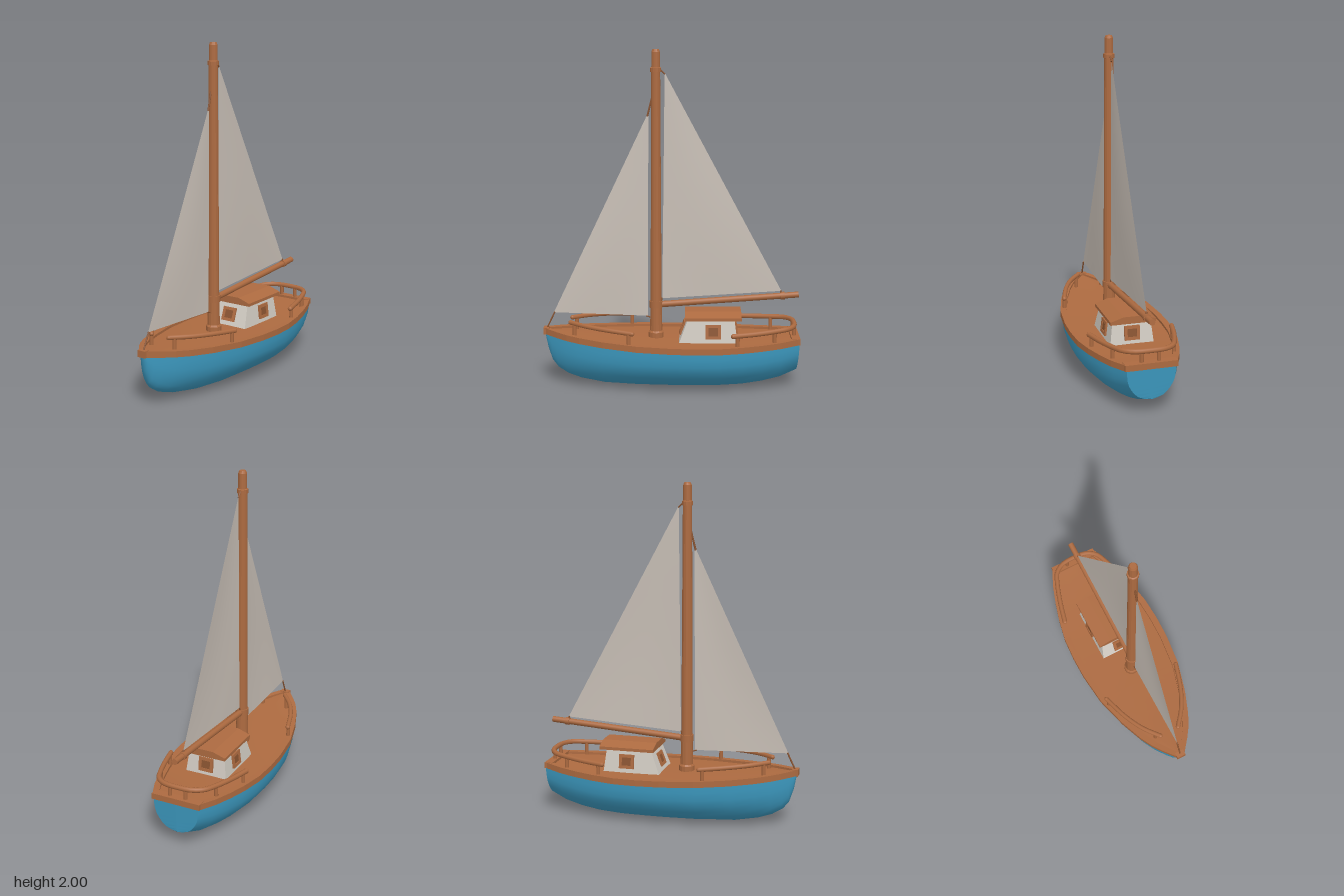
import * as THREE from 'three';

const mat = (name, color, double = false) => {
  const m = new THREE.MeshStandardMaterial({ color });
  m.name = name;
  if (double) m.side = THREE.DoubleSide;
  return m;
};

export function createModel() {
  const boat = new THREE.Group();
  boat.name = 'sailboat';
  const wood = mat('wood', 0xac6a40);
  const darkWood = mat('darkWood', 0x8a5431);
  const blue = mat('hullBlue', 0x3c98be, true);
  const white = mat('cabinWhite', 0xd2ccc3);
  const cloth = mat('sailCloth', 0xc8bfb6, true);

  const add = (name, geo, material, parent = boat) => {
    const mesh = new THREE.Mesh(geo, material);
    mesh.name = name;
    parent.add(mesh);
    return mesh;
  };
  const box = (name, w, h, d, x, y, z, material, parent) =>
    add(name, new THREE.BoxGeometry(w, h, d).translate(x, y, z), material, parent);

  // Skin between rows of points
  const loft = (rows, flat = false) => {
    const n = rows[0].length, index = [];
    for (let i = 0; i < rows.length - 1; i++)
      for (let j = 0; j < n - 1; j++) {
        const a = i * n + j, b = a + n;
        index.push(a, a + 1, b, b, a + 1, b + 1);
      }
    let g = new THREE.BufferGeometry();
    g.setAttribute('position', new THREE.Float32BufferAttribute(rows.flat(2), 3));
    g.setIndex(index);
    if (flat) g = g.toNonIndexed();
    g.computeVertexNormals();
    return g;
  };
  // Round bar between two points
  const bar = (name, a, b, r1, r2, material = wood, sides = 10) => {
    const A = new THREE.Vector3(...a), B = new THREE.Vector3(...b), d = B.clone().sub(A);
    const m = add(name, new THREE.CylinderGeometry(r2, r1, d.length(), sides), material);
    m.position.copy(A).add(B).multiplyScalar(0.5);
    m.quaternion.setFromUnitVectors(new THREE.Vector3(0, 1, 0), d.normalize());
    return m;
  };

  // Hull stations: x, half width, rail top, keel height
  const stations = [
    [-0.755, 0.026, 0.34, 0.29], [-0.74, 0.04, 0.338, 0.215], [-0.715, 0.06, 0.335, 0.14],
    [-0.68, 0.088, 0.331, 0.095], [-0.62, 0.13, 0.325, 0.058], [-0.54, 0.172, 0.318, 0.032],
    [-0.4, 0.226, 0.308, 0.008], [-0.2, 0.281, 0.298, 0.001], [0, 0.303, 0.292, 0],
    [0.14, 0.305, 0.289, 0], [0.28, 0.297, 0.288, 0], [0.42, 0.27, 0.29, 0.005],
    [0.54, 0.237, 0.294, 0.02], [0.65, 0.2, 0.3, 0.045], [0.75, 0.154, 0.308, 0.088],
  ];
  const RAIL = 0.036;
  // Half section from rail to keel: width fraction, height fraction
  const section = [[1, 1], [0.995, 0.83], [0.97, 0.65], [0.91, 0.49], [0.8, 0.34], [0.67, 0.21],
    [0.5, 0.1], [0.25, 0.025], [0, 0]];
  const profile = [...section, ...section.slice(0, -1).reverse().map(([z, y]) => [-z, y])];
  const hullRows = stations.map(([x, w, top, keel], i) => profile.map(([z, y]) => [
    x + (i === stations.length - 1 ? 0.012 * y : 0),
    keel + (top - RAIL + 0.008 - keel) * y,
    z * Math.max(w - 0.012, 0.012),
  ]));
  add('hull', loft(hullRows), blue);
  const stern = hullRows[hullRows.length - 1];
  add('transom', loft([stern, stern.map(([x, y]) => [x + 0.003, y, 0])], true), blue);

  // Deck and rail cap
  add('deck', loft(stations.map(([x, w, top]) => [-1, -0.5, 0, 0.5, 1].map((s) =>
    [x, top - 0.016 + 0.006 * (1 - s * s), s * (w - 0.01)]))), wood);
  for (const s of [1, -1]) {
    add(s > 0 ? 'gunwaleFront' : 'gunwaleBack', loft(stations.map(([x, w, top]) => {
      const inner = Math.max(w - 0.04, 0), low = top - RAIL;
      const ring = [[x, top, s * w], [x, low, s * w], [x, low, s * inner], [x, top, s * inner], [x, top, s * w]];
      return s > 0 ? ring : ring.reverse();
    }), true), wood);
  }
  box('sternRail', 0.05, RAIL, 0.306, 0.74, 0.291, 0, wood);
  box('bowBlock', 0.035, 0.04, 0.055, -0.75, 0.322, 0, wood);

  // Mast with collars
  const mast = [[0, 0.28], [0.046, 0.28], [0.046, 0.315], [0.038, 0.325], [0.034, 0.5], [0.027, 1.868],
    [0.033, 1.87], [0.033, 1.893], [0.026, 1.896], [0.025, 1.985], [0.019, 2], [0, 2]];
  // Doubled points keep the profile edges sharp
  const mastGeo = new THREE.LatheGeometry(mast.map(([r, y]) => new THREE.Vector2(r, y)), 14).toNonIndexed();
  mastGeo.computeVertexNormals();
  add('mast', mastGeo, wood).position.x = -0.09;
  add('boomCollar', new THREE.CylinderGeometry(0.04, 0.04, 0.04, 14).translate(-0.09, 0.485, 0), wood);

  // Boom and its end band
  bar('boom', [-0.07, 0.483, 0], [0.763, 0.545, 0], 0.019, 0.018);
  bar('boomBand', [0.655, 0.537, 0], [0.68, 0.539, 0], 0.023, 0.023);

  // Sails: luff foot, head and clew, with a faint belly
  const sail = (name, foot, head, clew, belly) => {
    const rows = [], N = 10;
    for (let i = 0; i <= N; i++) {
      const row = [], u = i / N;
      for (let j = 0; j <= N; j++) {
        const v = j / N;
        const at = (k) => foot[k] + (head[k] - foot[k]) * u + (clew[k] - foot[k]) * v * (1 - u);
        row.push([at(0), at(1), belly * Math.sin(Math.PI * v) * Math.sin(Math.PI * u) * (1 - u)]);
      }
      rows.push(row);
    }
    add(name, loft(rows), cloth);
  };
  sail('mainsail', [-0.053, 0.52], [-0.038, 1.865], [0.66, 0.567], 0.014);
  sail('jib', [-0.14, 0.412], [-0.133, 1.635], [-0.705, 0.432], 0.014);

  // Lines tying the sails
  bar('jibTack', [-0.75, 0.33, 0], [-0.7, 0.435, 0], 0.005, 0.005, darkWood, 6);
  bar('jibHalyard', [-0.14, 1.61, 0], [-0.112, 1.72, 0], 0.006, 0.006, darkWood, 6);
  bar('jibSheet', [-0.15, 0.412, 0], [-0.115, 0.4, 0], 0.004, 0.004, darkWood, 6);
  bar('mainHalyard', [-0.065, 1.885, 0], [-0.035, 1.855, 0], 0.005, 0.005, darkWood, 6);
  bar('mainTack', [-0.055, 0.525, 0], [-0.06, 0.485, 0], 0.004, 0.004, darkWood, 6);
  bar('mainClew', [0.655, 0.57, 0], [0.668, 0.54, 0], 0.005, 0.005, darkWood, 6);

  // Cabin walls, wider at the bottom and raked towards the bow
  const cabin = new THREE.Group();
  cabin.name = 'cabin';
  boat.add(cabin);
  const walls = new THREE.BoxGeometry(1, 0.16, 1);
  const p = walls.attributes.position;
  for (let i = 0; i < p.count; i++) {
    const low = p.getY(i) < 0;
    p.setX(i, p.getX(i) < 0 ? (low ? 0.045 : 0.105) : (low ? 0.395 : 0.375));
    p.setZ(i, Math.sign(p.getZ(i)) * (low ? 0.132 : 0.113));
    p.setY(i, low ? 0.27 : 0.43);
  }
  walls.computeVertexNormals();
  add('cabinWalls', walls, white, cabin);

  // Cambered roof
  const roof = new THREE.Shape([[-0.137, 0.412], [0.137, 0.412], [0.137, 0.43], [0.06, 0.455],
    [-0.06, 0.455], [-0.137, 0.43]].map(([x, y]) => new THREE.Vector2(x, y)));
  add('cabinRoof', new THREE.ExtrudeGeometry(roof, { depth: 0.335, bevelEnabled: false })
    .rotateY(Math.PI / 2).translate(0.083, 0, 0), wood, cabin);

  // Framed windows
  const windowAt = (name, x, y, z, turn, lean, w = 0.092, h = 0.085) => {
    const g = new THREE.Group();
    g.name = name;
    g.position.set(x, y, z);
    g.rotation.set(-lean, turn, 0, 'YXZ');
    cabin.add(g);
    const t = 0.018;
    for (const s of [1, -1]) {
      box('frameSide', t, h, 0.02, s * (w - t) / 2, 0, 0, wood, g);
      box('frameBar', w, t, 0.02, 0, s * (h - t) / 2, 0, wood, g);
    }
    box('pane', w - t, h - t, 0.008, 0, 0, 0.001, darkWood, g);
  };
  windowAt('windowFront', 0.25, 0.345, 0.124, 0, 0.12);
  windowAt('windowBack', 0.25, 0.345, -0.124, Math.PI, 0.12);
  windowAt('windowStern', 0.387, 0.345, 0, Math.PI / 2, 0.12);
  windowAt('windowBow', 0.073, 0.345, 0, -Math.PI / 2, 0.36);

  // Hand rails on posts
  const rail = (name, pts, r) => {
    const curve = new THREE.CatmullRomCurve3(pts.map((q) => new THREE.Vector3(...q)));
    add(name, new THREE.TubeGeometry(curve, 36, r, 8), wood);
    for (const end of [0, 1]) {
      const cap = add(name + 'End', new THREE.SphereGeometry(r, 8, 6), wood);
      cap.position.copy(curve.getPoint(end));
    }
  };
  const post = (x, y, z) => bar('railPost', [x, 0.275, z], [x, y, z], 0.012, 0.012, wood, 8);
  for (const s of [1, -1]) {
    rail('bowRail', [[-0.6, 0.385, 0.062 * s], [-0.5, 0.381, 0.14 * s], [-0.38, 0.375, 0.2 * s],
      [-0.225, 0.365, 0.25 * s]], 0.014);
    post(-0.575, 0.382, 0.083 * s);
    post(-0.245, 0.366, 0.244 * s);
    post(0.39, 0.354, 0.243 * s);
    post(0.61, 0.363, 0.18 * s);
    post(0.735, 0.37, 0.05 * s);
  }
  const half = [[0.365, 0.352, 0.25], [0.5, 0.357, 0.217], [0.62, 0.364, 0.178], [0.69, 0.369, 0.145],
    [0.728, 0.371, 0.09]];
  rail('sternHandRail', [...half, [0.738, 0.372, 0],
    ...half.slice().reverse().map(([x, y, z]) => [x, y, -z])], 0.015);

  return boat;
}
